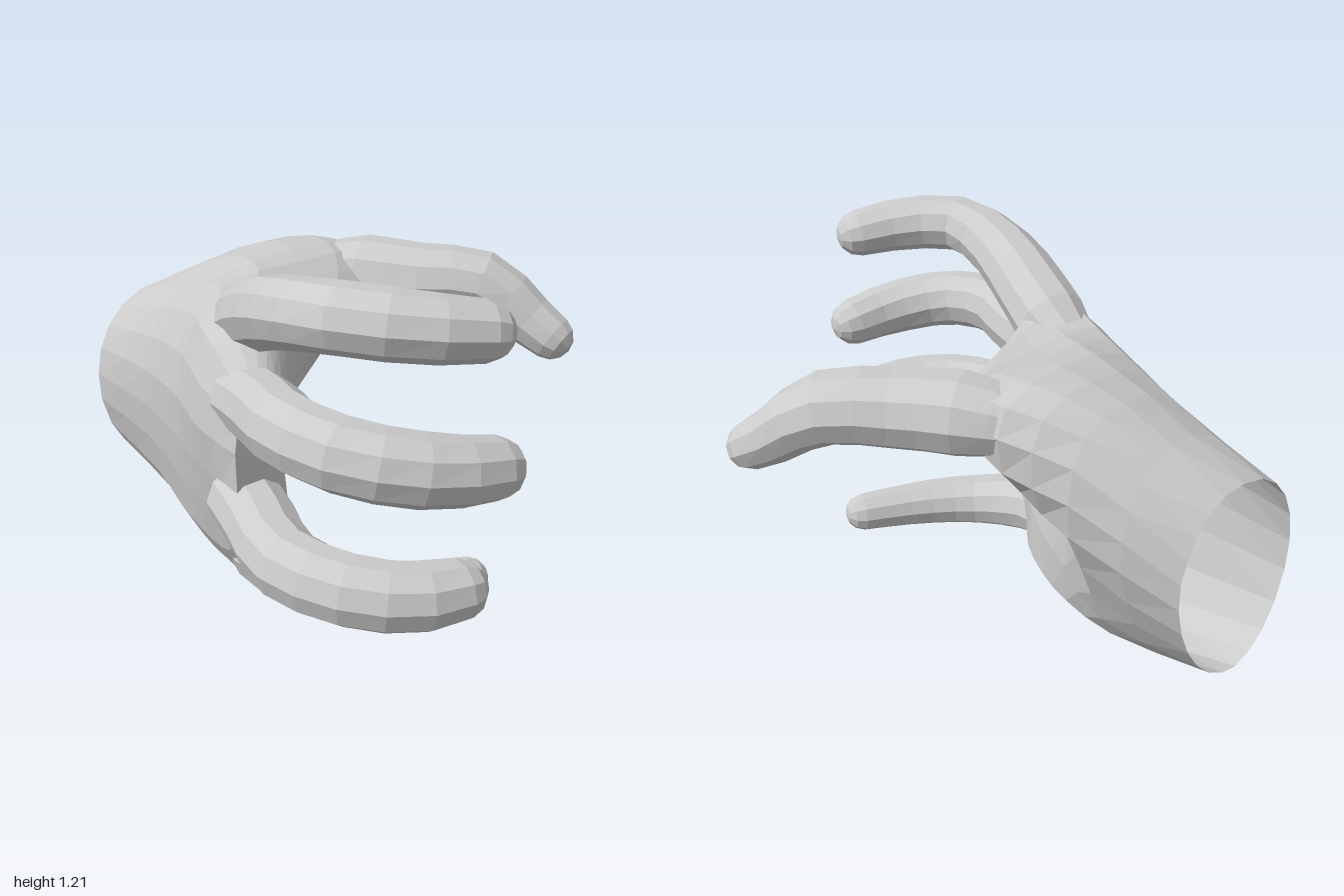
import * as THREE from 'three';

const skin = new THREE.MeshStandardMaterial({ color: 0xcccccc, flatShading: true, side: THREE.DoubleSide });

// Skins a list of rings (counter-clockwise seen from the far end), closed at the far end by an apex
function loft(name, rings, apex) {
  const n = rings[0].length;
  const pts = [...rings.flat(), apex];
  const index = [];
  for (let i = 0; i < rings.length; i++) {
    for (let j = 0; j < n; j++) {
      const a = i * n + j, b = i * n + (j + 1) % n;
      if (i === rings.length - 1) index.push(a, b, pts.length - 1);
      else index.push(a, b, a + n, b, b + n, a + n);
    }
  }
  const geometry = new THREE.BufferGeometry().setFromPoints(pts);
  geometry.setIndex(index);
  geometry.computeVertexNormals();
  const mesh = new THREE.Mesh(geometry, skin);
  mesh.name = name;
  return mesh;
}

// Finger: a tapering tube through [x, y, z, radius] joints with a rounded tip
function finger(name, joints, width = 1, sides = 10, steps = 9) {
  const curve = new THREE.CatmullRomCurve3(joints.map(([x, y, z]) => new THREE.Vector3(x, y, z)));
  const length = curve.getLength();
  const tip = joints.at(-1)[3];
  const bodyEnd = 1 - tip / length;
  const stations = [];
  for (let i = 0; i <= steps; i++) stations.push([bodyEnd * i / steps, 1]);
  for (const a of [0.55, 1.05]) stations.push([bodyEnd + Math.sin(a) * tip / length, Math.cos(a)]);

  const rings = stations.map(([u, scale]) => {
    const k = curve.getUtoTmapping(u) * (joints.length - 1);
    const k0 = Math.min(Math.floor(k), joints.length - 2);
    const r = scale * THREE.MathUtils.lerp(joints[k0][3], joints[k0 + 1][3], k - k0);
    const centre = curve.getPointAt(u), along = curve.getTangentAt(u);
    const across = new THREE.Vector3(0, 1, 0).cross(along).normalize();
    const up = along.clone().cross(across);
    return Array.from({ length: sides }, (_, j) => {
      const a = j / sides * Math.PI * 2;
      return centre.clone().addScaledVector(across, width * r * Math.cos(a)).addScaledVector(up, r * Math.sin(a));
    });
  });
  return loft(name, rings, curve.getPointAt(1));
}

// Palm cross-sections from wrist to knuckles, each running
// heel, back of hand, top edge, thumb mound, hollow of the palm
const sections = [
  [-0.96, [[-.07, .08], [-.21, .17], [-.29, .4], [-.25, .62], [-.11, .76], [.09, .78], [.21, .68], [.26, .52], [.21, .31], [.08, .14]]],
  [-0.6, [[-.07, .03], [-.26, .1], [-.35, .4], [-.33, .68], [-.18, .88], [.1, .97], [.31, .92], [.37, .7], [.25, .41], [.12, .15]]],
  [-0.38, [[-.13, .01], [-.33, .07], [-.42, .4], [-.41, .72], [-.25, .94], [.12, 1.03], [.4, .98], [.38, .74], [.06, .52], [.06, .15]]],
  [-0.22, [[-.18, .01], [-.38, .07], [-.47, .4], [-.47, .74], [-.32, .97], [.06, 1], [.38, .97], [.33, .8], [-.08, .54], [-.02, .15]]],
  [-0.08, [[-.23, .02], [-.41, .07], [-.52, .4], [-.54, .75], [-.41, .97], [-.1, .94], [.26, .88], [.16, .8], [-.19, .53], [-.12, .16]]],
  [0.03, [[-.31, .04], [-.44, .09], [-.54, .4], [-.58, .73], [-.46, .96], [-.28, .99], [-.17, .92], [-.22, .73], [-.28, .46], [-.25, .18]]],
  [0.23, [[-.44, .31], [-.5, .33], [-.59, .44], [-.6, .7], [-.54, .83], [-.48, .85], [-.42, .82], [-.4, .72], [-.42, .46], [-.4, .36]]],
];

function palm(sides = 22, steps = 13) {
  const outlines = sections.map(([z, pts]) => {
    // the cut of the wrist slants slightly across the arm
    const slant = z < -0.9 ? 0.13 : 0;
    const curve = new THREE.CatmullRomCurve3(
      pts.map(([x, y]) => new THREE.Vector3(x, y, z + slant * x)), true);
    return Array.from({ length: sides }, (_, j) => curve.getPoint(1 - j / sides));
  });
  const lines = outlines[0].map((_, j) => new THREE.CatmullRomCurve3(outlines.map(o => o[j])));
  const rings = Array.from({ length: steps }, (_, i) => lines.map(l => l.getPoint(i / (steps - 1))));
  return loft('palm', rings, new THREE.Vector3(-0.51, 0.58, 0.24));
}

export function createModel() {
  const hand = new THREE.Group();
  hand.name = 'hand';
  hand.add(
    palm(),
    finger('thumb', [[.28, .89, -.39, .09], [.355, .91, -.22, .132], [.455, .905, -.02, .125], [.59, .895, .17, .115],
      [.67, .77, .34, .09], [.71, .69, .47, .072]], 1.12),
    finger('indexFinger', [[-.29, .89, -.12, .09], [-.33, .94, 0, .12], [-.425, 1.025, .2, .115], [-.505, 1.09, .41, .104],
      [-.515, 1.12, .58, .1], [-.4, 1.11, .76, .098], [-.18, 1.08, .9, .08]], 1.1),
    finger('middleFinger', [[-.48, .75, .12, .11], [-.525, .765, .27, .115], [-.61, .785, .48, .11], [-.58, .77, .7, .108],
      [-.42, .735, .86, .105], [-.17, .7, .94, .085]]),
    finger('ringFinger', [[-.5, .42, .12, .115], [-.56, .41, .28, .115], [-.655, .4, .51, .108], [-.61, .39, .73, .104],
      [-.49, .38, .865, .1], [-.3, .38, .94, .08]]),
    finger('littleFinger', [[-.34, .15, -.03, .1], [-.37, .135, .1, .11], [-.32, .1, .3, .098], [-.18, .095, .45, .088],
      [.11, .1, .63, .068]]),
  );
  return hand;
}
